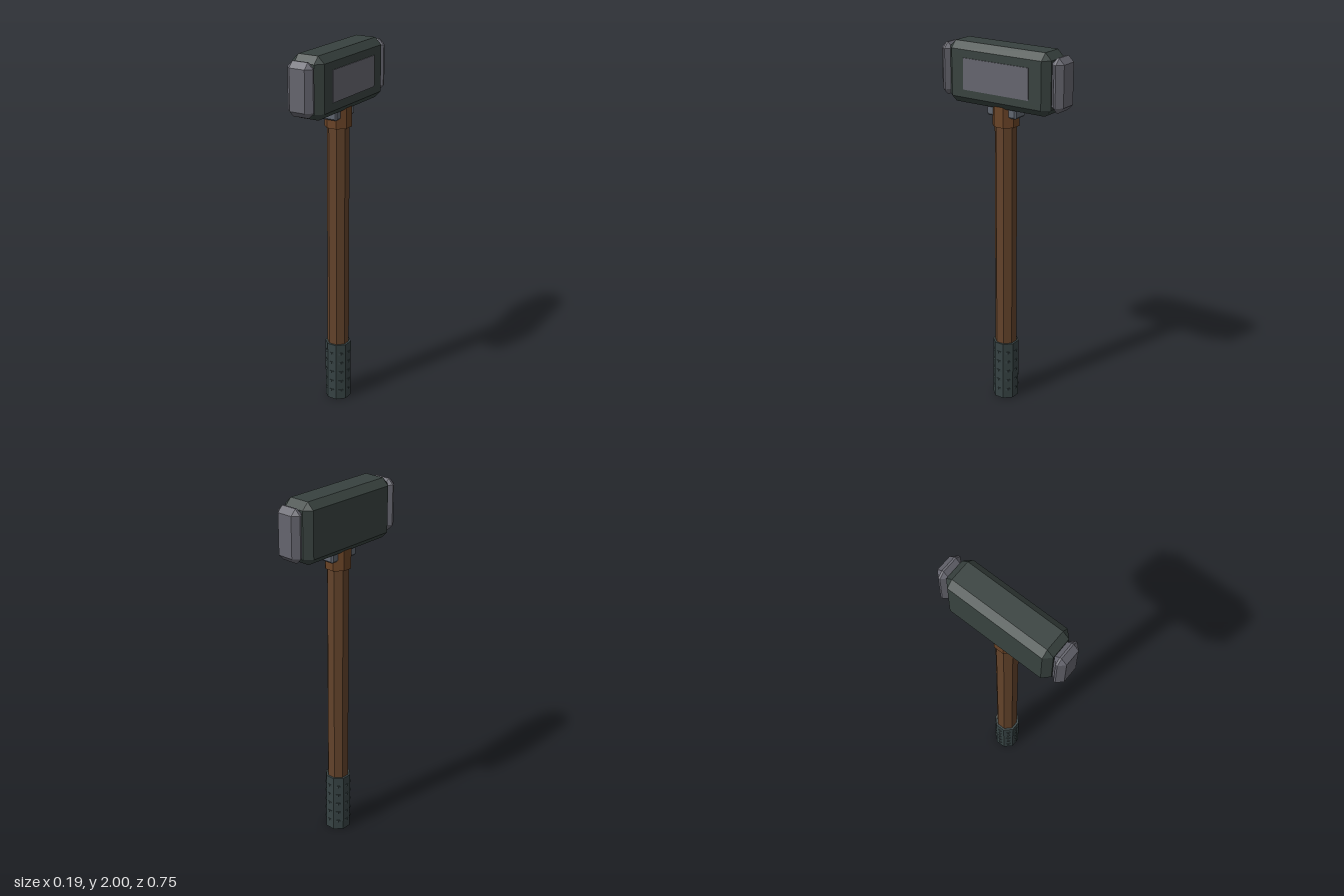
import * as THREE from 'three';
import { ConvexGeometry } from 'three/addons/geometries/ConvexGeometry.js';

const material = (name, color) => {
  const m = new THREE.MeshStandardMaterial({ color, flatShading: true });
  m.name = name;
  return m;
};

// Box with every edge cut at 45 degrees
function chamferBox(w, h, d, c) {
  const points = [];
  for (const x of [-1, 1]) for (const y of [-1, 1]) for (const z of [-1, 1]) {
    for (let flat = 0; flat < 3; flat++) {
      points.push(new THREE.Vector3(
        x * (w / 2 - (flat === 0 ? 0 : c)),
        y * (h / 2 - (flat === 1 ? 0 : c)),
        z * (d / 2 - (flat === 2 ? 0 : c))));
    }
  }
  return new ConvexGeometry(points);
}

// Eight-sided bar with flats facing the axes, sized by its half width
function octagonBar(half, bottom, top) {
  const r = half / Math.cos(Math.PI / 8);
  return new THREE.CylinderGeometry(r, r, top - bottom, 8)
    .rotateY(Math.PI / 8)
    .translate(0, (top + bottom) / 2, 0);
}

export function createModel() {
  const iron = material('dark iron', 0x38423f);
  const steel = material('steel', 0x65656e);
  const bracketSteel = material('bracket steel', 0x606670);
  const wood = material('wood', 0x62422a);
  const collarWood = material('collar wood', 0x694326);
  const rubber = material('grip rubber', 0x364243);

  const model = new THREE.Group();
  model.name = 'hammer';
  const add = (name, geometry, mat, x = 0, y = 0, z = 0) => {
    const mesh = new THREE.Mesh(geometry, mat);
    mesh.name = name;
    mesh.position.set(x, y, z);
    model.add(mesh);
  };
  const cx = -0.002;

  // Handle, collar and grip
  add('handle', octagonBar(0.055, 0, 1.7), wood, cx);
  add('collar', octagonBar(0.066, 1.58, 1.695), collarWood, cx);
  add('grip', octagonBar(0.066, 0.001, 0.34), rubber, cx);

  // Ridges break through the middle of each grip face
  for (let i = 0; i < 5; i++) {
    add('gripRidge', new THREE.CylinderGeometry(0.072, 0.072, 0.012, 8), rubber, cx, 0.055 + i * 0.0575);
  }

  // Head with an inlaid plate on one side
  add('head', chamferBox(0.186, 0.32, 0.62, 0.036), iron, cx, 1.84);
  add('sidePlate', new THREE.BoxGeometry(0.006, 0.165, 0.4), steel, 0.092, 1.84);

  // Striking faces and brackets, front and back
  for (const side of [1, -1]) {
    add('strikingFace', chamferBox(0.148, 0.275, 0.07, 0.03), steel, cx, 1.842, side * 0.34);
    add('bracket', chamferBox(0.09, 0.065, 0.05, 0.008), bracketSteel, cx, 1.6625, side * 0.066);
  }
  return model;
}
